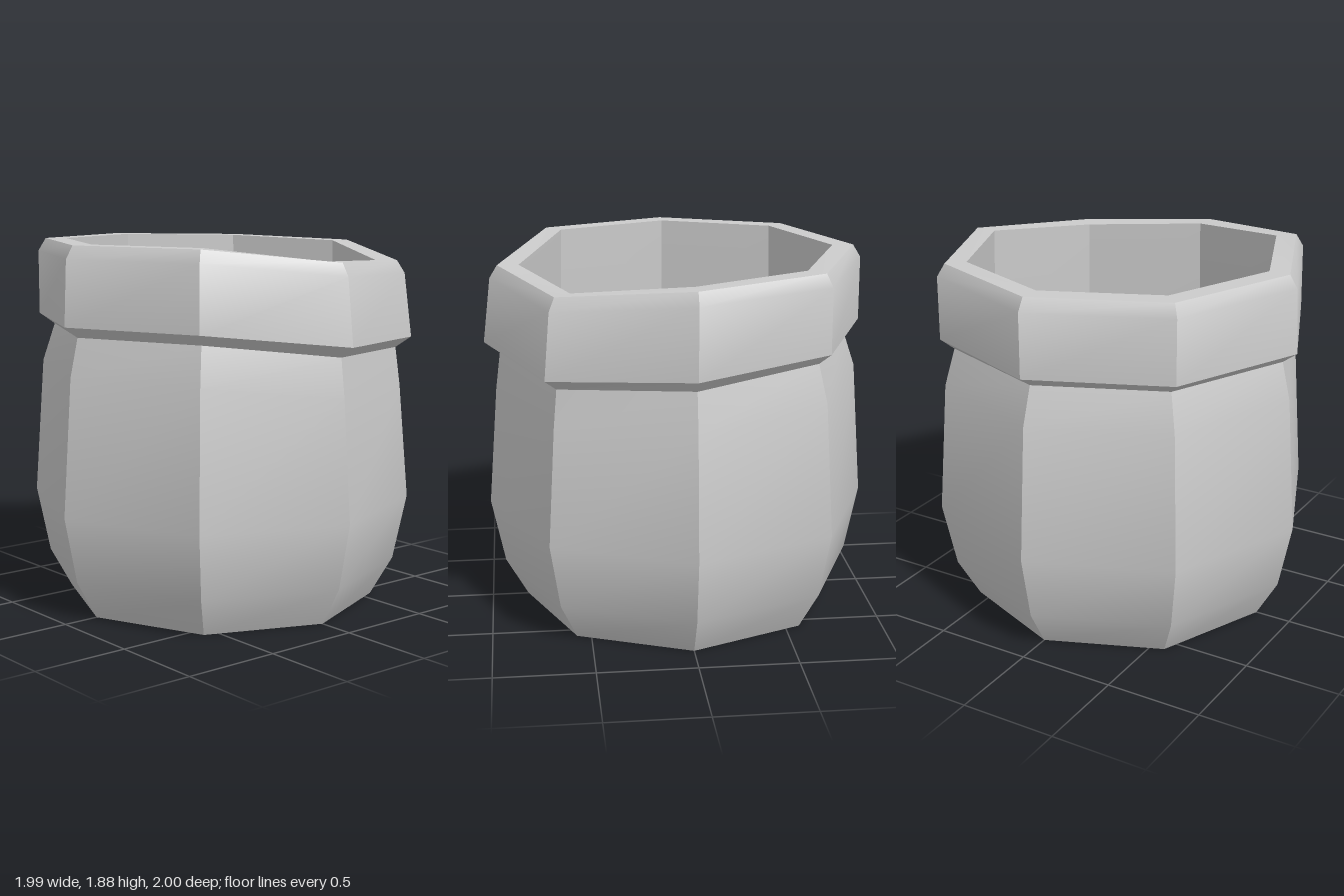
import * as THREE from 'three';
import { mergeVertices, toCreasedNormals } from 'three/addons/utils/BufferGeometryUtils.js';

const SIDES = 8;

// Per-corner data, counted from +x towards +z: the collar sags at the front left
const sagTop = [0.035, 0.105, 0.075, 0, 0, 0, 0.005, 0.02];
const sagLow = [0.065, 0.105, 0.08, 0, 0, 0, 0.005, 0.02];
const lipRadius = [0.95, 1.0, 1.0, 0.965, 0.975, 0.96, 0.96, 0.96];
const neckRadius = [0.9, 0.92, 0.92, 0.89, 0.9, 0.88, 0.88, 0.89];

// A ring gives [radius, height] for each corner
const ring = (r, y, sag = null) => (k) => [
  Array.isArray(r) ? r[k] : r,
  y - (sag ? sag[k] : 0),
];

// Skin a stack of octagonal rings; a ring of radius 0 closes the end
function loft(rings) {
  const pos = [];
  const index = [];
  rings.forEach((f) => {
    for (let k = 0; k < SIDES; k++) {
      const a = (k / SIDES) * Math.PI * 2;
      const [r, y] = f(k);
      pos.push(r * Math.cos(a), y, r * Math.sin(a));
    }
  });
  for (let i = 0; i < rings.length - 1; i++) {
    for (let k = 0; k < SIDES; k++) {
      const n = (k + 1) % SIDES;
      const a = i * SIDES + k, b = i * SIDES + n;
      const c = a + SIDES, d = b + SIDES;
      if (rings[i](k)[0] > 0) index.push(a, c, b);
      if (rings[i + 1](k)[0] > 0) index.push(b, c, d);
    }
  }
  const g = new THREE.BufferGeometry();
  g.setAttribute('position', new THREE.Float32BufferAttribute(pos, 3));
  g.setIndex(index);
  return toCreasedNormals(mergeVertices(g), 0.6);
}

export function createModel() {
  const group = new THREE.Group();
  group.name = 'pot';
  const material = new THREE.MeshStandardMaterial({ color: 0xcccccc });
  const add = (name, rings) => {
    const mesh = new THREE.Mesh(loft(rings), material);
    mesh.name = name;
    group.add(mesh);
  };

  const neck = ring(neckRadius, 1.435, sagLow);
  const mouth = ring(0.81, 1.885, sagTop);

  // Bulging outer wall with a flat base
  add('body', [
    ring(0, 0),
    ring(0.81, 0),
    ring(0.925, 0.2),
    ring(0.995, 0.54),
    ring(0.945, 1.24, sagLow),
    neck,
  ]);

  // Thick overhanging collar with a chamfered top
  add('collar', [
    neck,
    ring(lipRadius, 1.49, sagLow),
    ring(0.96, 1.82, sagTop),
    ring(0.92, 1.885, sagTop),
    mouth,
  ]);

  // Hollow inside, following the outer wall down to the floor
  add('interior', [
    mouth,
    ring(0.83, 1.24, sagLow),
    ring(0.88, 0.56),
    ring(0.82, 0.26),
    ring(0.71, 0.1),
    ring(0, 0.1),
  ]);

  return group;
}
